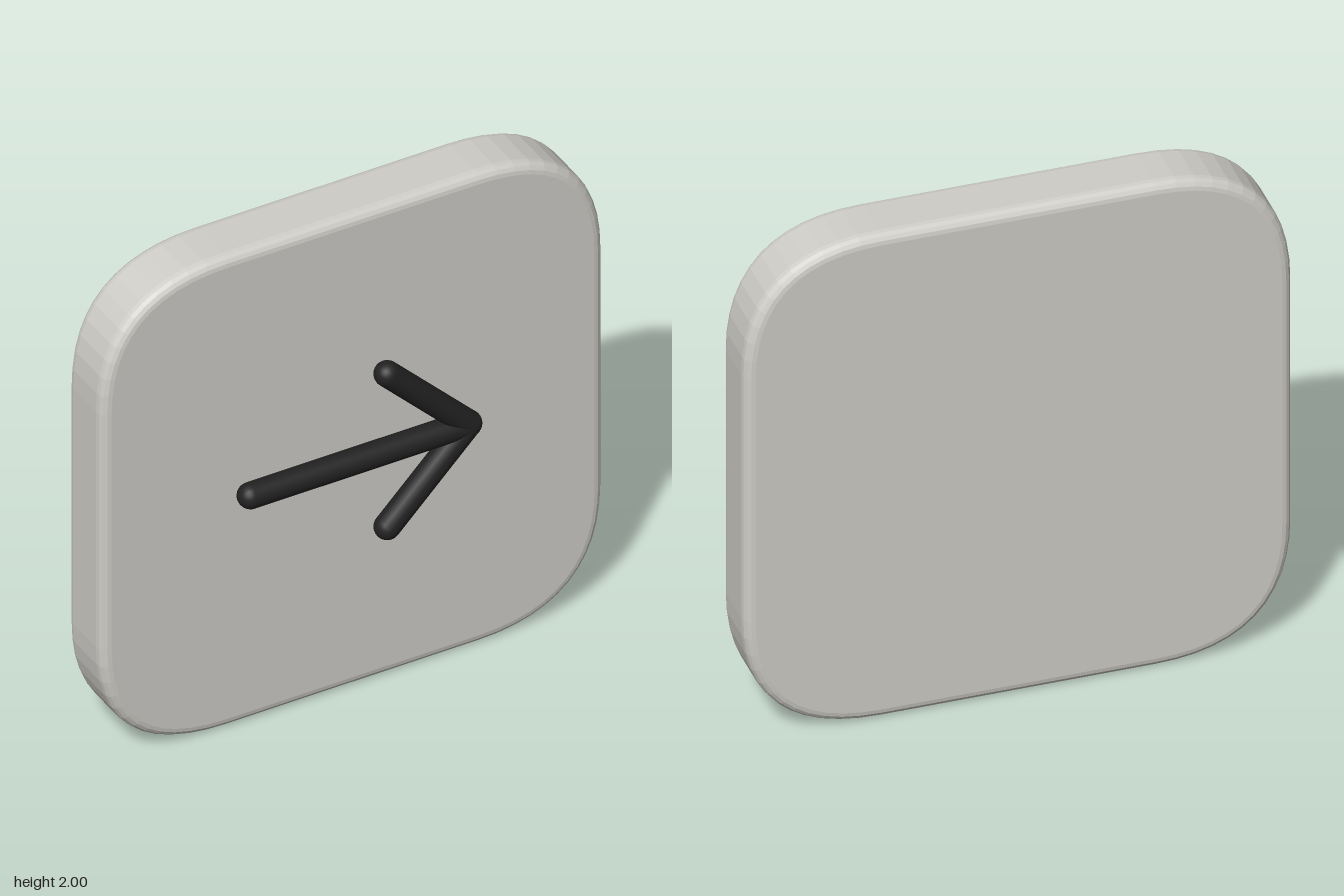
import * as THREE from 'three';

export function createModel() {
  const model = new THREE.Group();
  const stone = new THREE.MeshStandardMaterial({ color: 0xcfcdc7 });
  stone.name = 'warm grey';
  const ink = new THREE.MeshStandardMaterial({ color: 0x222222 });
  ink.name = 'near black';

  // Rounded square plate with a soft bevel all round
  const bevel = 0.04, h = 1 - bevel, r = 0.46;
  const outline = new THREE.Shape();
  outline.moveTo(-h + r, -h);
  outline.lineTo(h - r, -h);
  outline.quadraticCurveTo(h, -h, h, -h + r);
  outline.lineTo(h, h - r);
  outline.quadraticCurveTo(h, h, h - r, h);
  outline.lineTo(-h + r, h);
  outline.quadraticCurveTo(-h, h, -h, h - r);
  outline.lineTo(-h, -h + r);
  outline.quadraticCurveTo(-h, -h, -h + r, -h);
  const plate = new THREE.Mesh(new THREE.ExtrudeGeometry(outline, {
    depth: 0.16, bevelEnabled: true, bevelThickness: bevel, bevelSize: bevel,
    bevelSegments: 4, curveSegments: 12,
  }), stone);
  plate.name = 'plate';
  plate.position.set(0, 1, -0.13);
  model.add(plate);

  // Arrow made of three round-ended bars meeting at the tip
  const arrow = new THREE.Group();
  arrow.name = 'arrow';
  const tip = new THREE.Vector3(0.43, 1, 0.12);
  const addBar = (name, x, y) => {
    const end = new THREE.Vector3(x, y, tip.z);
    const dir = tip.clone().sub(end);
    const bar = new THREE.Mesh(new THREE.CapsuleGeometry(0.048, dir.length(), 8, 20), ink);
    bar.name = name;
    bar.position.copy(end).add(tip).multiplyScalar(0.5);
    bar.quaternion.setFromUnitVectors(new THREE.Vector3(0, 1, 0), dir.normalize());
    arrow.add(bar);
  };
  addBar('arrowShaft', -0.437, 1);
  addBar('arrowUpperBarb', 0.107, 1.325);
  addBar('arrowLowerBarb', 0.107, 0.675);
  model.add(arrow);

  return model;
}
